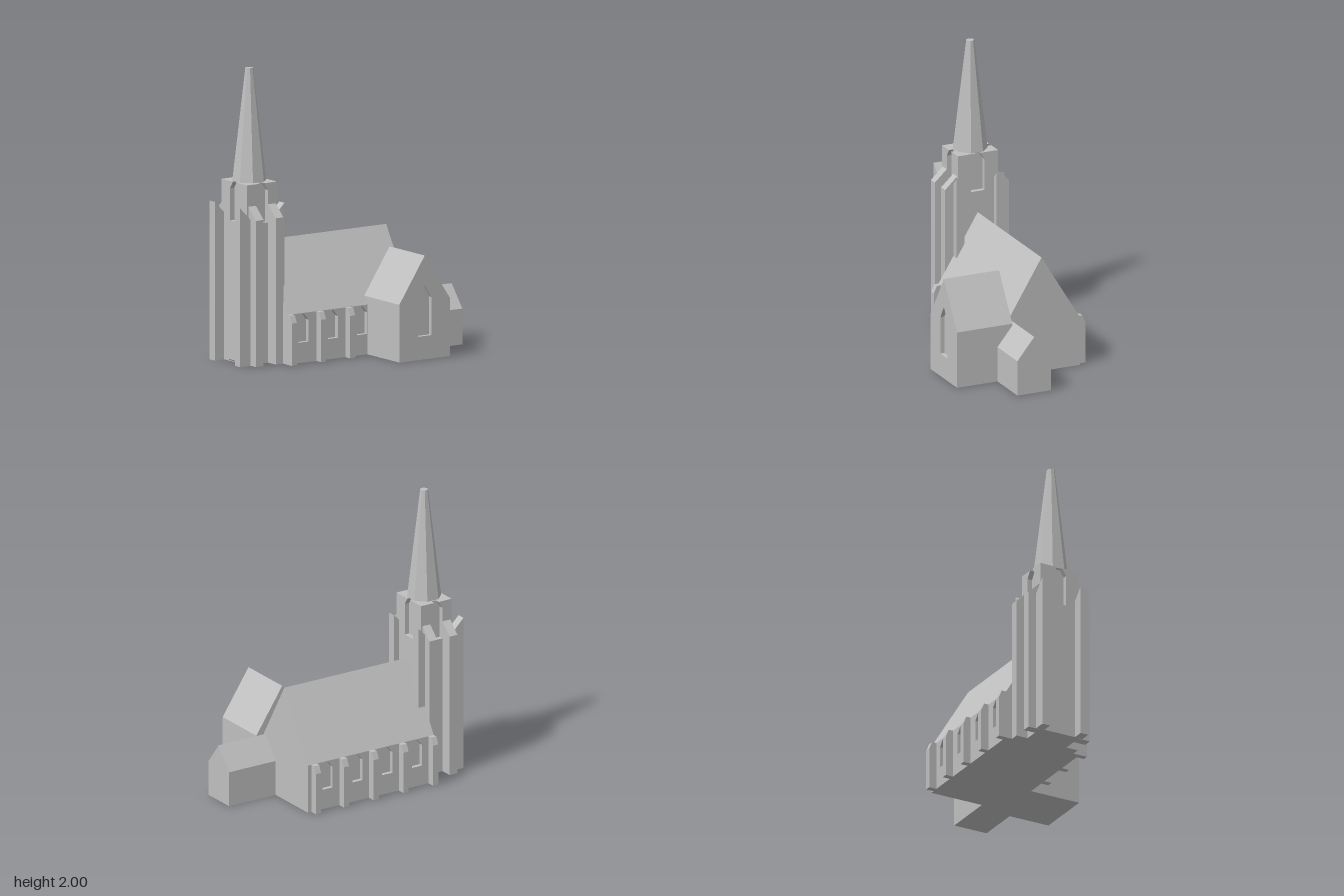
import * as THREE from 'three';

export function createModel() {
  const church = new THREE.Group();
  church.name = 'church';
  const stone = new THREE.MeshStandardMaterial({ color: 0xc0c0c0 });
  stone.name = 'grey stone';

  function add(name, geometry, parent = church) {
    const mesh = new THREE.Mesh(geometry, stone);
    mesh.name = name;
    parent.add(mesh);
    return mesh;
  }
  function box(name, x0, x1, y0, y1, z0, z1) {
    const g = new THREE.BoxGeometry(x1 - x0, y1 - y0, z1 - z0);
    g.translate((x0 + x1) / 2, (y0 + y1) / 2, (z0 + z1) / 2);
    return add(name, g);
  }
  const shapeOf = (pts) => new THREE.Shape(pts.map(([a, b]) => new THREE.Vector2(a, b)));

  // Prism with an (x, y) outline, running along z
  function prismZ(name, pts, z0, z1, holes = []) {
    const shape = shapeOf(pts);
    holes.forEach((h) => shape.holes.push(shapeOf(h)));
    const g = new THREE.ExtrudeGeometry(shape, { depth: z1 - z0, bevelEnabled: false });
    g.translate(0, 0, z0);
    return add(name, g);
  }
  // Prism with a (z, y) outline, running along x
  function prismX(name, pts, x0, x1, holes = []) {
    const flip = (list) => list.map(([z, y]) => [-z, y]);
    const shape = shapeOf(flip(pts));
    holes.forEach((h) => shape.holes.push(shapeOf(flip(h))));
    const g = new THREE.ExtrudeGeometry(shape, { depth: x1 - x0, bevelEnabled: false });
    g.rotateY(Math.PI / 2);
    g.translate(x0, 0, 0);
    return add(name, g);
  }
  const rect = (a0, a1, b0, b1) => [[a0, b0], [a1, b0], [a1, b1], [a0, b1]];
  const house = (a0, a1, eave, ridge) =>
    [[a0, 0], [a1, 0], [a1, eave], [(a0 + a1) / 2, ridge], [a0, eave]];
  const lancet = (c, half, sill, spring, apex) =>
    [[c - half, sill], [c + half, sill], [c + half, spring], [c, apex], [c - half, spring]];

  // Nave: core with overhanging roof, side walls with recessed windows
  const X0 = -0.54, X1 = 0.475, ZN = -0.445, ZS = 0.125, EAVE = 0.34, D = 0.03;
  prismX('nave', [
    [ZN + D, 0], [ZS - D, 0], [ZS - D, EAVE], [ZS, EAVE],
    [(ZN + ZS) / 2, 0.81], [ZN, EAVE], [ZN + D, EAVE],
  ], X0, X1);
  const windows = [-0.405, -0.165, 0.075, 0.315].map((x) => lancet(x, 0.041, 0.14, 0.29, 0.336));
  prismZ('southWall', rect(X0, X1, 0, EAVE), ZS - D, ZS, windows.slice(0, 3));
  prismZ('northWall', rect(X0, X1, 0, EAVE), ZN, ZN + D, windows);

  // Nave buttresses with a sloped outer edge
  [-0.52, -0.28, -0.04, 0.2, 0.425].forEach((x, i) => {
    for (const [wall, s] of [[ZN, -1], [ZS, 1]]) {
      if (s > 0 && i > 2) continue;
      prismX('naveButtress', [
        [wall, 0], [wall + s * 0.055, 0], [wall + s * 0.055, 0.29],
        [wall + s * 0.032, EAVE], [wall, EAVE],
      ], x - 0.021, x + 0.021);
    }
  });

  // Transept with one tall recessed window
  const gable = house(0.12, 0.537, 0.395, 0.71);
  prismZ('transept', gable, 0.087, 0.467);
  prismZ('transeptFront', gable, 0.467, 0.497, [lancet(0.329, 0.056, 0.16, 0.42, 0.51)]);

  // Low annex at the end
  prismX('annex', house(-0.053, 0.197, 0.245, 0.4), 0.46, 0.85);

  // Tower shaft with a recessed doorway
  const TX = -0.65, TZ = -0.162, HX = 0.1225, HZ = 0.15, SILL = 0.96, TOP = 1.23, R = 0.035;
  box('towerShaft', TX - HX + R, TX + HX, 0, SILL, TZ - HZ, TZ + HZ);
  prismX('towerDoorWall', rect(TZ - HZ, TZ + HZ, 0, SILL), TX - HX, TX - HX + R,
    [lancet(TZ, 0.06, 0.005, 0.22, 0.33)]);

  // Belfry: inset core and slabs that leave a pointed opening on every side
  box('belfryCore', TX - HX + R, TX + HX - R, SILL, TOP, TZ - HZ + R, TZ + HZ - R);
  for (const s of [-1, 1]) {
    const slab = (c, half) => [
      [c + s * 0.05, SILL], [c + s * half, SILL], [c + s * half, TOP],
      [c + s * 0.017, TOP], [c + s * 0.05, 1.18],
    ];
    prismZ('belfryFront', slab(TX, HX), TZ + HZ - R, TZ + HZ);
    prismZ('belfryBack', slab(TX, HX), TZ - HZ, TZ - HZ + R);
    prismX('belfryLeft', slab(TZ, HZ), TX + HX - R, TX + HX);
    prismX('belfryRight', slab(TZ, HZ), TX - HX, TX - HX + R);
  }

  // Tower buttresses in pairs on each side
  const slope = (inner, outer, yInner, yOuter) =>
    [[inner, 0], [outer, 0], [outer, yOuter], [inner, yInner]];
  for (const s of [-1, 1]) {
    const x = TX + s * 0.081, z = TZ + s * 0.148;
    prismX('frontTowerButtress', slope(TZ + 0.148, 0.077, 1.085, 1.0), x - 0.031, x + 0.031);
    prismX('backTowerButtress', slope(TZ - 0.148, -0.398, 1.085, 1.0), x - 0.031, x + 0.031);
    prismZ('rightTowerButtress', slope(-0.765, -0.85, 1.0, 1.085), z - 0.03, z + 0.03);
    prismZ('leftTowerButtress', slope(-0.57, -0.486, 1.0, 1.085), z - 0.03, z + 0.03);
  }

  // Eight-sided spire with a blunt tip
  const spire = new THREE.CylinderGeometry(0.027, 0.117, 2 - TOP, 8).toNonIndexed();
  spire.rotateY(Math.PI / 8);
  spire.computeVertexNormals();
  spire.translate(TX, (2 + TOP) / 2, TZ);
  add('spire', spire);

  return church;
}
